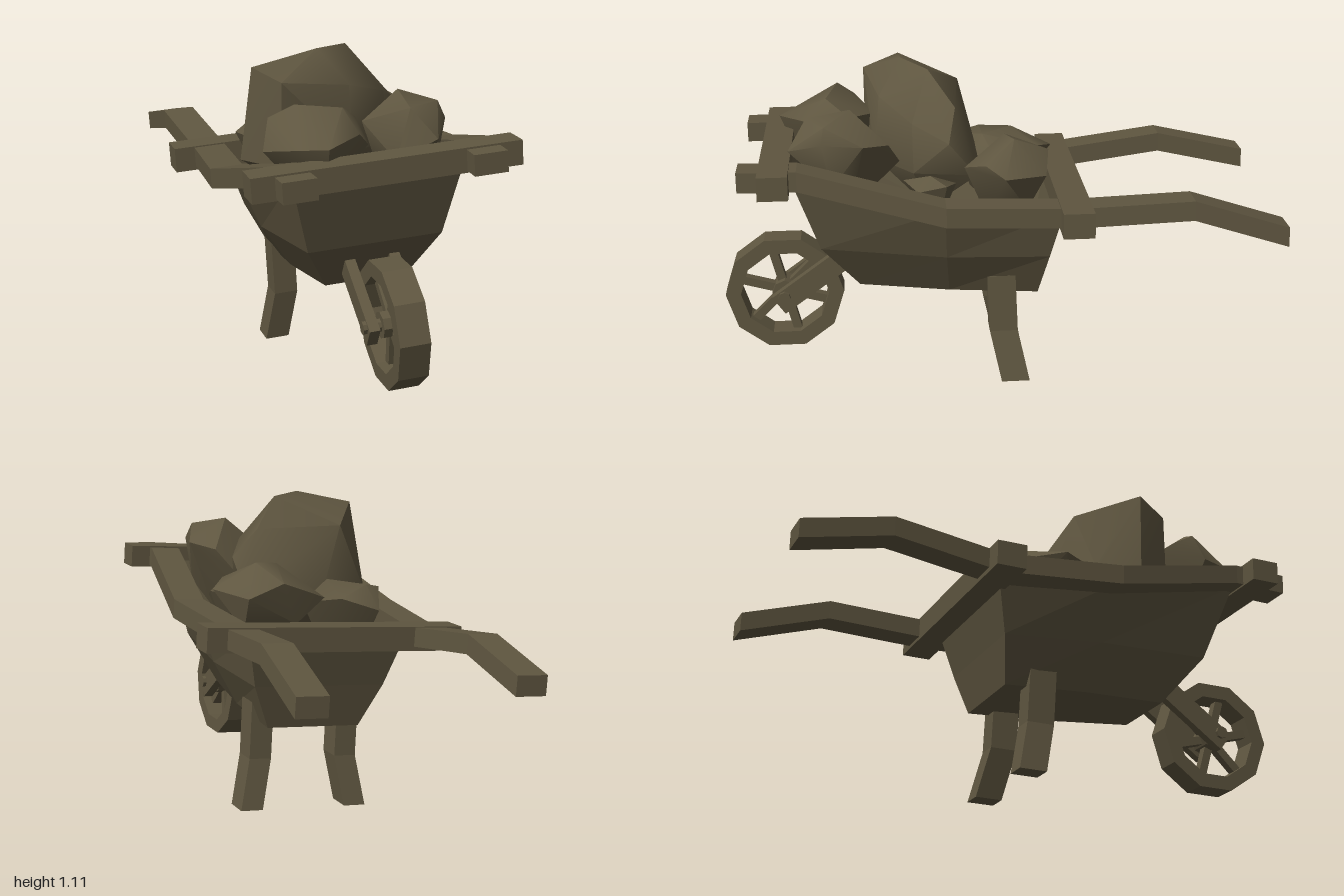
import * as THREE from 'three';
import { toCreasedNormals } from 'three/addons/utils/BufferGeometryUtils.js';
import { ConvexGeometry } from 'three/addons/geometries/ConvexGeometry.js';

const wood = new THREE.MeshStandardMaterial({ color: 0x5f5640, side: THREE.DoubleSide });
wood.name = 'weathered brown';

function add(parent, name, geometry) {
  const mesh = new THREE.Mesh(geometry, wood);
  mesh.name = name;
  parent.add(mesh);
  return mesh;
}

function flat(geometry) {
  const g = geometry.index ? geometry.toNonIndexed() : geometry;
  g.computeVertexNormals();
  return g;
}

// Skin a list of equal-sized rings, capping the ends if asked
function loft(rings, capEnd = true) {
  const n = rings[0].length, index = [];
  for (let r = 0; r < rings.length - 1; r++) {
    for (let i = 0; i < n; i++) {
      const a = r * n + i, b = r * n + (i + 1) % n;
      index.push(a, b, b + n, a, b + n, a + n);
    }
  }
  const last = (rings.length - 1) * n;
  for (let i = 1; i < n - 1; i++) {
    index.push(0, i + 1, i);
    if (capEnd) index.push(last, last + i, last + i + 1);
  }
  const g = new THREE.BufferGeometry();
  g.setAttribute('position', new THREE.Float32BufferAttribute(rings.flat(2), 3));
  g.setIndex(index);
  return flat(g);
}

const corners = [[-1, -1], [1, -1], [1, 1], [-1, 1]];
// Bent plank running forwards, and bent post running downwards
const plank = (path, w, h) => loft(path.map(([x, y, z]) =>
  corners.map(([a, b]) => [x + a * w / 2, y + b * h / 2, z])));
const post = (path, w, d) => loft(path.map(([x, y, z]) =>
  corners.map(([a, b]) => [x + a * w / 2, y, z + b * d / 2])));

// Six-sided tub ring: front, widest and rear half widths with heights
function tubRing([fx, fy, fz], [mx, my, mz], [rx, ry, rz]) {
  return [[-fx, fy, fz], [fx, fy, fz], [mx, my, mz], [rx, ry, rz], [-rx, ry, rz], [-mx, my, mz]];
}

function makeWheel() {
  const wheel = new THREE.Group();
  wheel.name = 'wheel';
  const profile = [[0.155, -0.05], [0.208, -0.05], [0.208, 0.05], [0.155, 0.05], [0.155, -0.05]]
    .map(([r, y]) => new THREE.Vector2(r, y));
  add(wheel, 'rim', flat(new THREE.LatheGeometry(profile, 10).rotateZ(Math.PI / 2)));
  add(wheel, 'hub', flat(new THREE.CylinderGeometry(0.045, 0.045, 0.09, 8).rotateZ(Math.PI / 2)));
  add(wheel, 'axle', flat(new THREE.CylinderGeometry(0.022, 0.022, 0.21, 8).rotateZ(Math.PI / 2)));
  for (let i = 0; i < 6; i++) {
    const spoke = new THREE.BoxGeometry(0.035, 0.14, 0.03).translate(0, 0.1, 0);
    add(wheel, 'spoke', spoke.rotateX(i * Math.PI / 3 + 0.25));
  }
  return wheel;
}

// Hull points of the rocks: x, y, z
const rocks = {
  largeRock: [
    [-.19, .75, .3], [-.18, .75, .46], [-.14, 1.06, .47], [-.03, 1.03, .56], [-.03, .75, .56],
    [.06, 1.11, .38], [.14, 1.105, .25], [.2, 1, .13], [.24, .78, .04], [.29, .9, .12],
    [.29, .78, .25], [.27, .95, .26], [.19, .78, .43], [.17, 1, .42], [-.03, .75, .13],
    [-.1, 1, .23], [0, .6, .3], [.15, .6, .25]],
  frontRock: [
    [-.07, .84, .7], [-.06, .94, .66], [-.03, .93, .6], [.02, .98, .64], [.07, .9, .48],
    [.2, .92, .52], [.17, .97, .62], [.25, .85, .6], [.23, .9, .68], [.15, .88, .81],
    [.06, .87, .79], [.14, .76, .76], [0, .75, .66], [.1, .65, .58]],
  rightRock: [
    [.22, .9, .5], [.29, .82, .3], [.36, .9, .31], [.33, 1, .46], [.46, .975, .5],
    [.46, .92, .36], [.485, .92, .5], [.47, .88, .63], [.38, .97, .6], [.34, .8, .61],
    [.46, .76, .48], [.28, .7, .45], [.38, .66, .45]],
  rearRightRock: [
    [-.04, .78, -.04], [.1, .85, -.17], [.22, .8, -.2], [.2, .91, -.08], [.13, .9, -.02],
    [.35, .82, -.1], [.32, .85, -.02], [.28, .82, .07], [.04, .8, .05], [.06, .7, -.12],
    [.24, .68, -.14], [.2, .62, .02]],
  rearLeftRock: [
    [-.23, .74, -.08], [-.1, .78, -.07], [.04, .75, .03], [-.05, .82, .12], [-.15, .77, .28],
    [-.24, .78, .2], [-.19, .81, .06], [.02, .72, .16], [-.18, .6, .02], [-.05, .55, .08],
    [-.14, .58, .2]],
  smallRock: [
    [.28, .76, .1], [.37, .78, .1], [.38, .75, .2], [.34, .8, .17], [.31, .76, .28],
    [.26, .72, .2], [.32, .62, .15]],
};

export function createModel() {
  const model = new THREE.Group();
  model.name = 'wheelbarrow';

  // The barrow stands turned and leaning slightly to one side
  const barrow = new THREE.Group();
  barrow.name = 'barrow';
  barrow.position.set(0.052, 0, -0.022);
  barrow.rotation.set(0, 0.4, 0.07);
  model.add(barrow);

  // Tub
  add(barrow, 'tub', loft([
    tubRing([.141, .365, .538], [.175, .345, .23], [.174, .325, -.079]),
    tubRing([.225, .53, .665], [.27, .5, .24], [.245, .48, -.114]),
    tubRing([.285, .80, .755], [.345, .69, .245], [.295, .66, -.16]),
  ], false));

  for (const s of [-1, 1]) {
    // Side rails running back into the handles
    add(barrow, s < 0 ? 'rightRail' : 'leftRail', plank([
      [s * .375, .612 - s * .025, -.9],
      [s * .367, .70 - s * .012, -.58],
      [s * .345, .668, -.19],
      [s * .375, .695, .245],
      [s * .31, .815, .73],
      [s * .302, .815, .925],
    ], 0.11, 0.068));

    // Bent rear legs
    add(barrow, s < 0 ? 'rightLeg' : 'leftLeg', post([
      [s * .165, .4, .05], [s * .165, .195, .043], [s * .2, .016, .005],
    ], 0.082, 0.098));

    // Wheel fork arm
    const arm = add(barrow, 'forkArm', new THREE.BoxGeometry(0.035, 0.075, 0.31));
    arm.position.set(s * .075, .365, .70);
    arm.rotation.x = 0.62;
  }

  // Cross bars
  add(barrow, 'rearCrossBar', new THREE.BoxGeometry(0.95, 0.086, 0.105)).position.set(0, .667, -.187);
  add(barrow, 'frontCrossBar', new THREE.BoxGeometry(0.87, 0.08, 0.1)).position.set(0, .815, .805);

  const wheel = makeWheel();
  wheel.position.set(0, .306, .805);
  barrow.add(wheel);

  // Load of rocks
  for (const [name, points] of Object.entries(rocks)) {
    const hull = new ConvexGeometry(points.map(p => new THREE.Vector3(...p)));
    add(model, name, toCreasedNormals(hull, 0.75));
  }
  return model;
}
